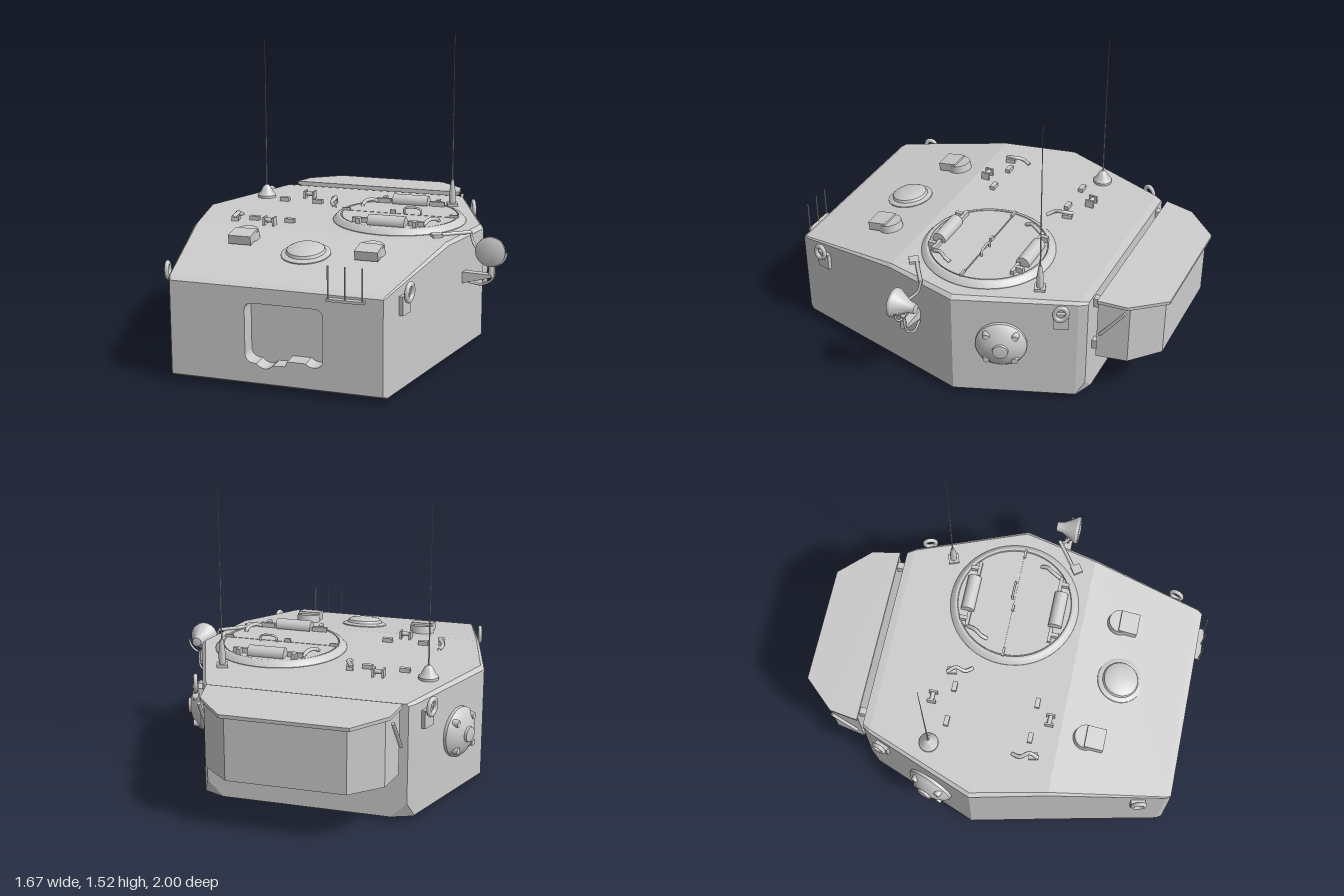
import * as THREE from 'three';
import { toCreasedNormals } from 'three/addons/utils/BufferGeometryUtils.js';

const mat = new THREE.MeshStandardMaterial({ color: 0xcccccc, side: THREE.DoubleSide });
const CX = -0.08; // centre line of the turret shell
const SLOPE = 0.165; // pitch of the front part of the roof
const V = (x, y, z) => new THREE.Vector3(x, y, z);

function add(parent, name, geo, x = 0, y = 0, z = 0, rx = 0, ry = 0, rz = 0) {
  const m = new THREE.Mesh(geo, mat);
  m.name = name;
  m.position.set(x, y, z);
  m.rotation.set(rx, ry, rz);
  parent.add(m);
  return m;
}
function group(parent, name, x = 0, y = 0, z = 0, rx = 0, ry = 0, rz = 0) {
  const g = new THREE.Group();
  g.name = name;
  g.position.set(x, y, z);
  g.rotation.set(rx, ry, rz);
  parent.add(g);
  return g;
}
const box = (w, h, d) => new THREE.BoxGeometry(w, h, d);
const cyl = (a, b, h, n = 20) => new THREE.CylinderGeometry(a, b, h, n);
const lathe = (pts, n = 32) =>
  toCreasedNormals(new THREE.LatheGeometry(pts.map(p => new THREE.Vector2(...p)), n), 0.5);
const tube = (pts, r, n = 20) => new THREE.TubeGeometry(new THREE.CatmullRomCurve3(pts), n, r, 8);
const shape = pts => new THREE.Shape(pts.map(p => new THREE.Vector2(...p)));

// Plate from an x/z outline, extruded downwards from y = 0
const planPlate = (pts, depth) =>
  new THREE.ExtrudeGeometry(shape(pts), { depth, bevelEnabled: false }).rotateX(Math.PI / 2);

// Bar between two points
function bar(parent, name, a, b, r) {
  const m = add(parent, name, cyl(r, r, a.distanceTo(b), 8));
  m.position.copy(a).lerp(b, 0.5);
  m.quaternion.setFromUnitVectors(V(0, 1, 0), b.clone().sub(a).normalize());
}

// Flat-shaded skin over sections of equal point count, ordered from back to front
function loft(sections) {
  const n = sections[0].length, idx = [];
  for (let i = 0; i < sections.length - 1; i++)
    for (let j = 0; j < n; j++) {
      const a = i * n + j, b = i * n + (j + 1) % n;
      idx.push(a, b, b + n, a, b + n, a + n);
    }
  for (let j = 1; j < n - 1; j++) idx.push(0, j + 1, j);
  const g = new THREE.BufferGeometry();
  g.setAttribute('position', new THREE.Float32BufferAttribute(sections.flat(2), 3));
  g.setIndex(idx);
  const flat = g.toNonIndexed();
  flat.computeVertexNormals();
  return flat;
}

function buildShell(root) {
  // z, half width, bottom, top, lower bevel, upper bevel
  const stations = [
    [-0.655, 0.5, 0.02, 0.6, 0.08, 0.01], [-0.615, 0.528, 0.02, 0.605, 0.005, 0.015],
    [-0.04, 0.752, 0.02, 0.605, 0.005, 0.02], [0.35, 0.663, 0.02, 0.605, 0.005, 0.015],
    [0.945, 0.53, 0.02, 0.507, 0.005, 0.006], [0.97, 0.515, 0.035, 0.492, 0.003, 0.003],
  ];
  add(root, 'turretShell', loft(stations.map(([z, w, b, t, lo, hi]) => {
    const half = [[w - lo, b], [w, b + lo], [w, t - hi], [w - hi, t]];
    return [...half.map(([x, y]) => [CX + x, y, z]),
      ...half.reverse().map(([x, y]) => [CX - x, y, z])];
  })));

  // Front plate with the rounded gun opening and its uneven lower edge
  const plate = shape([[-0.595, 0.035], [0.435, 0.035], [0.435, 0.492], [-0.595, 0.492]]);
  const hole = new THREE.Path();
  hole.moveTo(-0.225, 0.38);
  hole.lineTo(-0.225, 0.17);
  hole.quadraticCurveTo(-0.22, 0.13, -0.17, 0.13);
  hole.quadraticCurveTo(-0.13, 0.09, -0.09, 0.125);
  hole.lineTo(-0.03, 0.13);
  hole.lineTo(-0.02, 0.155);
  hole.lineTo(0.07, 0.155);
  hole.quadraticCurveTo(0.09, 0.135, 0.12, 0.14);
  hole.quadraticCurveTo(0.15, 0.145, 0.152, 0.18);
  hole.lineTo(0.152, 0.38);
  hole.quadraticCurveTo(0.15, 0.418, 0.11, 0.418);
  hole.lineTo(-0.185, 0.418);
  hole.quadraticCurveTo(-0.225, 0.418, -0.225, 0.38);
  plate.holes.push(hole);
  add(root, 'frontPlate', new THREE.ExtrudeGeometry(plate, { depth: 0.09, bevelEnabled: false }), 0, 0, 0.88);
  add(root, 'gunOpeningBack', box(0.42, 0.36, 0.01), -0.035, 0.26, 0.88);
  add(root, 'turretRing', cyl(0.575, 0.575, 0.025, 64), CX, 0.0125, 0.255);
}

function buildBin(root) {
  const bin = group(root, 'stowageBin');
  const outline = (hw, mid, hb, f, m, b) => [[CX - hw, f], [CX + hw, f], [CX + mid, m],
    [CX + hb, b], [CX - hb, b], [CX - mid, m]];
  add(bin, 'binBody', planPlate(outline(0.465, 0.435, 0.29, -0.69, -0.845, -0.975), 0.335), 0, 0.595, 0);
  add(bin, 'binLid', planPlate(outline(0.48, 0.455, 0.307, 0, -0.15, -0.31), 0.018), 0, 0.613, -0.69, -0.06);
  for (const s of [-1, 1]) {
    bar(bin, 'lidStrap', V(CX + s * 0.465, 0.57, -0.83), V(CX + s * 0.478, 0.41, -0.71), 0.009);
    for (const y of [0.3, 0.56])
      add(bin, 'binBracket', box(0.035, 0.05, 0.06), CX + s * 0.418, y, -0.67);
  }
}

// Domed side port with bolts, its axis along +y before placing
function buildPort(root, s) {
  const a = Math.atan2(0.24, 0.61);
  const g = group(root, 'sidePort', CX + s * 0.667, 0.335, -0.27, 0, s > 0 ? a : Math.PI - a, 0);
  const p = group(g, 'portDome', 0, 0, 0, 0, 0, -Math.PI / 2);
  add(p, 'portCover', lathe([[0.128, -0.02], [0.128, 0.012], [0.11, 0.03], [0.075, 0.05], [0.04, 0.06], [0.038, 0.072], [0, 0.078]]));
  for (let i = 0; i < 4; i++) {
    const t = Math.PI * (0.25 + i / 2);
    add(p, 'portBolt', cyl(0.016, 0.022, 0.035, 12), Math.cos(t) * 0.1, 0.032, Math.sin(t) * 0.1);
  }
}

function buildLiftingEye(root, s, hw, y, z, yaw) {
  const g = group(root, 'liftingEye', CX + s * hw, y, z, 0, s > 0 ? yaw : Math.PI - yaw, 0);
  add(g, 'eyePad', box(0.02, 0.09, 0.075), 0.006, -0.03, 0);
  add(g, 'eyeRing', new THREE.TorusGeometry(0.03, 0.011, 10, 24).scale(1, 1.25, 1), 0.03, 0.03, 0, 0, Math.PI / 2, -0.3);
}

function buildCupola(root) {
  const c = group(root, 'cupola', 0.235, 0, -0.025);
  add(c, 'cupolaRing', lathe([[0.342, 0.59], [0.342, 0.608], [0.325, 0.628], [0.315, 0.634], [0.303, 0.634], [0.3, 0.626], [0, 0.626]], 56));
  for (const s of [-1, 1]) {
    const half = new THREE.Shape();
    half.absarc(0, 0.003, 0.296, 0, Math.PI, false);
    const leaf = group(c, 'hatchLeaf', 0, 0.633, 0, 0, s > 0 ? 0 : Math.PI, 0);
    add(leaf, 'hatchPlate', new THREE.ExtrudeGeometry(half, { depth: 0.01, bevelEnabled: false, curveSegments: 28 }).rotateX(Math.PI / 2));
    add(leaf, 'hatchRoll', cyl(0.036, 0.036, 0.19), 0, 0.012, 0.235, 0, 0, Math.PI / 2);
    for (const x of [-0.145, 0.145]) {
      add(leaf, 'hingeArm', box(0.08, 0.028, 0.018), x, 0.01, 0.22);
      add(leaf, 'hingeBlock', box(0.02, 0.035, 0.04), x, 0.012, 0.245);
    }
    add(leaf, 'hatchCatch', box(0.045, 0.02, 0.012), 0.285, 0.004, 0);
    add(leaf, 'hatchLatch', tube([V(0.18, 0.005, 0.22), V(0.2, 0.025, 0.17), V(0.225, 0.02, 0.13), V(0.23, 0.005, 0.1)], 0.01), 0, 0, 0);
  }
  add(c, 'hatchHandle', tube([V(0.02, 0.63, -0.015), V(0.025, 0.66, -0.015), V(0.105, 0.66, -0.015), V(0.11, 0.63, -0.015)], 0.006));
  add(c, 'hatchLock', box(0.03, 0.025, 0.012), -0.035, 0.64, 0);
}

function buildRoofFittings(root) {
  // Clips, clamps and latches of the second hatch
  for (const z of [-0.235, 0.205])
    for (const x of [-0.47, -0.28]) add(root, 'roofClip', box(0.052, 0.024, 0.025), x, 0.614, z);
  for (const z of [-0.335, 0.285]) {
    const k = group(root, 'roofClamp', -0.36, 0.61, z);
    for (const x of [-0.025, 0.025]) add(k, 'clampCheek', box(0.01, 0.05, 0.045), x, 0.012, 0);
    add(k, 'clampPin', cyl(0.012, 0.012, 0.055, 10), 0, 0.02, 0, 0, 0, Math.PI / 2);
  }
  for (const [x, z, s] of [[-0.19, -0.23, 1], [-0.57, 0.2, -1]]) {
    const l = group(root, 'roofLatch', x, 0.605, z, 0, 0.2, 0);
    add(l, 'latchArm', tube([V(-0.01, 0.02, -0.065 * s), V(0.01, 0.035, -0.02 * s), V(-0.005, 0.02, 0.03 * s), V(0.015, 0.005, 0.07 * s)], 0.01));
    add(l, 'latchFoot', box(0.035, 0.025, 0.05), 0, 0.008, -0.04 * s);
  }

  // Periscopes and ventilator on the sloping roof
  for (const [x, z] of [[-0.405, 0.48], [0.255, 0.54]]) {
    const p = group(root, 'periscope', x, 0.605 - (z - 0.35) * 0.165, z, SLOPE);
    add(p, 'periscopeBase', cyl(0.062, 0.066, 0.07, 28), 0, 0.005, 0);
    add(p, 'periscopeHood', box(0.115, 0.045, 0.1), 0, 0.029, 0.045);
  }
  const v = group(root, 'ventilator', -0.055, 0.563, 0.6, SLOPE);
  add(v, 'ventDome', lathe([[0.122, -0.015], [0.12, 0.006], [0.104, 0.014], [0.096, 0.014], [0.09, 0.028], [0.075, 0.036], [0.04, 0.042], [0, 0.044]], 40));

  // Whip aerials
  const a = group(root, 'leftAerial', -0.6, 0, -0.3);
  add(a, 'aerialBase', lathe([[0.05, 0.6], [0.05, 0.618], [0.035, 0.635], [0.022, 0.662], [0.008, 0.675], [0, 0.675]], 24));
  add(a, 'aerialWhip', cyl(0.0015, 0.004, 0.8, 6), 0, 1.065, 0);
  const b = group(root, 'rightAerial', 0.425, 0, -0.4);
  add(b, 'aerialFoot', box(0.055, 0.02, 0.055), 0, 0.61, 0, 0, 0.35);
  add(b, 'aerialBase', lathe([[0.017, 0.61], [0.017, 0.68], [0.008, 0.745], [0, 0.75]], 16));
  add(b, 'aerialWhip', cyl(0.0015, 0.004, 0.79, 6), 0, 1.125, 0);

  // Sighting rods on the front edge
  const r = group(root, 'sightingRods');
  add(r, 'rodBracket', box(0.175, 0.012, 0.03), 0.265, 0.475, 0.983);
  for (const x of [0.185, 0.265, 0.345]) add(r, 'sightRod', cyl(0.004, 0.004, 0.165, 8), x, 0.552, 0.993);
}

function buildSpotlight(root) {
  const g = group(root, 'spotlight');
  add(g, 'lampBowl', lathe([[0, -0.115], [0.025, -0.11], [0.03, -0.075], [0.05, -0.04], [0.068, -0.01], [0.074, 0], [0.074, 0.014], [0.066, 0.018], [0, 0.024]]), 0.76, 0.54, 0.215, Math.PI / 2);
  add(g, 'lampYoke', new THREE.TorusGeometry(0.072, 0.006, 8, 24, Math.PI), 0.76, 0.53, 0.18, 0, 0, Math.PI);
  add(g, 'lampPost', cyl(0.012, 0.016, 0.07, 12), 0.758, 0.435, 0.18);
  add(g, 'lampBracket', new THREE.ExtrudeGeometry(shape([[0.61, 0.36], [0.76, 0.4], [0.76, 0.415], [0.61, 0.42]]), { depth: 0.04, bevelEnabled: false }), 0, 0, 0.16);
  add(g, 'lampCable', tube([V(0.77, 0.47, 0.17), V(0.765, 0.39, 0.16), V(0.71, 0.35, 0.15), V(0.64, 0.36, 0.16)], 0.006));
  bar(g, 'controlRod', V(0.48, 0.61, 0.26), V(0.645, 0.61, 0.14), 0.01);
  add(g, 'controlLink', tube([V(0.645, 0.61, 0.14), V(0.66, 0.56, 0.15), V(0.7, 0.53, 0.18), V(0.75, 0.53, 0.18)], 0.007));
  add(g, 'rodFoot', box(0.05, 0.03, 0.05), 0.5, 0.605, 0.26, 0, 0.6);
}

export function createModel() {
  const root = new THREE.Group();
  root.name = 'turret';
  buildShell(root);
  buildBin(root);
  for (const s of [-1, 1]) {
    buildPort(root, s);
    buildLiftingEye(root, s, 0.565, 0.46, 0.81, -0.22);
    buildLiftingEye(root, s, 0.562, 0.53, -0.54, 0.375);
  }
  buildCupola(root);
  buildRoofFittings(root);
  buildSpotlight(root);
  return root;
}
